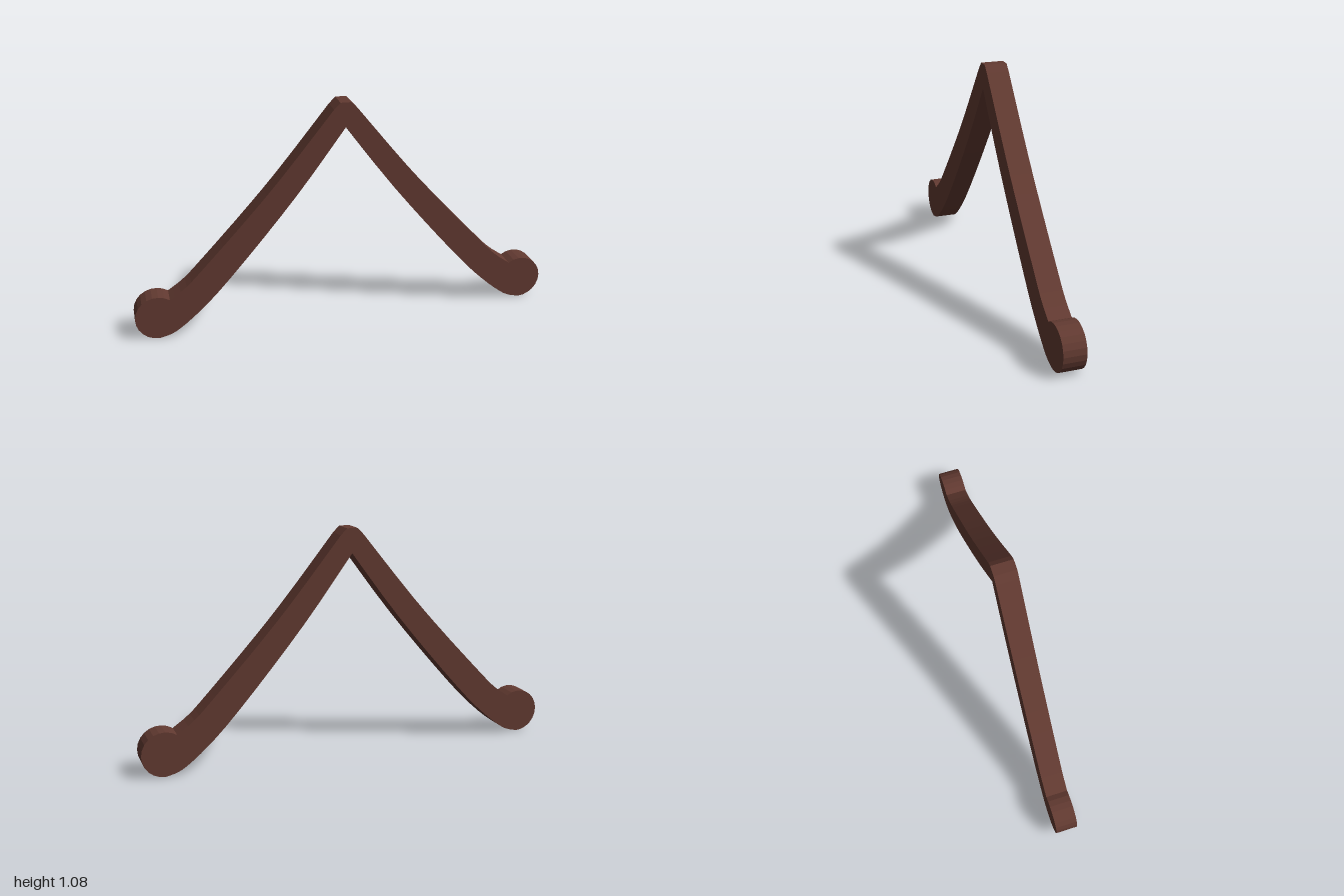
import * as THREE from 'three';

const DEPTH = 0.104;
const wood = new THREE.MeshStandardMaterial({ color: 0x623a31 });
wood.name = 'dark brown wood';

// Smooth edge through a few [x, y] points
function edge(points, divisions) {
  return new THREE.SplineCurve(points.map(([x, y]) => new THREE.Vector2(x, y))).getPoints(divisions);
}

export function createModel() {
  const group = new THREE.Group();
  group.name = 'gableTrim';

  // Upper edge of one arm, from the blunt peak down to the scroll
  const upper = edge([[0.055, 1.045], [0.29, 0.755], [0.47, 0.55], [0.68, 0.325], [0.76, 0.245], [0.835, 0.191]], 14);

  // Round end, clockwise from the notch to its lowest point
  const scroll = [];
  const cx = 0.895, cy = 0.105, r = 0.105;
  const start = Math.atan2(0.191 - cy, 0.835 - cx);
  for (let i = 1; i <= 14; i++) {
    const a = start + (-Math.PI / 2 - start) * i / 14;
    scroll.push(new THREE.Vector2(cx + r * Math.cos(a), cy + r * Math.sin(a)));
  }

  // Lower edge, back up to the inner corner below the peak
  const lower = edge([[0.895, 0], [0.84, 0.014], [0.79, 0.043], [0.705, 0.113], [0.595, 0.222], [0.4, 0.445], [0.2, 0.69], [0, 0.96]], 18);

  const half = [new THREE.Vector2(0.025, 1.075), ...upper, ...scroll, ...lower.slice(1)];
  const mirrored = half.slice(0, -1).reverse().map((p) => new THREE.Vector2(-p.x, p.y));

  // Both arms as one flat board
  const geometry = new THREE.ExtrudeGeometry(new THREE.Shape([...half, ...mirrored]), {
    depth: DEPTH, bevelEnabled: false, curveSegments: 1,
  });
  geometry.translate(0, 0, -DEPTH / 2);
  const board = new THREE.Mesh(geometry, wood);
  board.name = 'curvedArms';
  group.add(board);
  return group;
}
